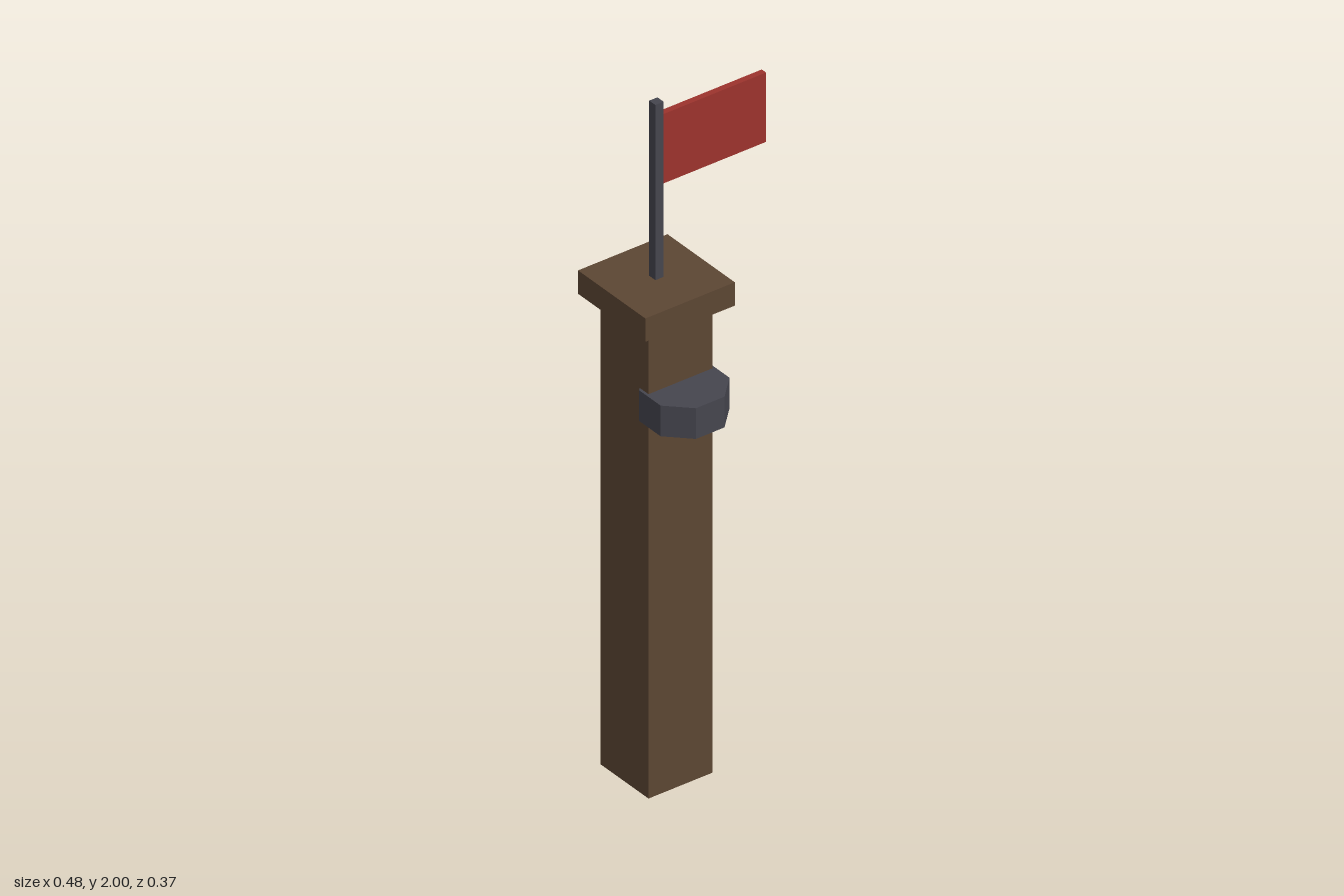
import * as THREE from 'three';

const wood = new THREE.MeshStandardMaterial({ color: 0x5c4633 });
wood.name = 'brown wood';
const metal = new THREE.MeshStandardMaterial({ color: 0x45454e, flatShading: true });
metal.name = 'dark metal';
const cloth = new THREE.MeshStandardMaterial({ color: 0x9c332d });
cloth.name = 'red cloth';

// Shared vertical axis of post, cap and pole
const AXIS_X = -0.1;
const AXIS_Z = -0.043;

export function createModel() {
  const model = new THREE.Group();
  model.name = 'flagPost';

  const add = (name, geometry, material, x, y, z) => {
    const mesh = new THREE.Mesh(geometry, material);
    mesh.name = name;
    mesh.position.set(x, y, z);
    model.add(mesh);
    return mesh;
  };

  // Box given by its width, bottom, top and depth
  const addBox = (name, material, x, width, bottom, top, depth) =>
    add(name, new THREE.BoxGeometry(width, top - bottom, depth), material, x, (bottom + top) / 2, AXIS_Z);

  // Square post and overhanging cap
  addBox('post', wood, AXIS_X, 0.202, 0, 1.405, 0.202);
  addBox('cap', wood, AXIS_X, 0.283, 1.405, 1.475, 0.283);

  // Thin square pole with a flag on its left side
  addBox('pole', metal, AXIS_X, 0.026, 1.475, 2, 0.026);
  addBox('flag', cloth, 0.0765, 0.327, 1.752, 1.96, 0.018);

  // Octagonal fitting half sunk into the front, one flat facing forward
  const fitting = add('octagonalFitting', new THREE.CylinderGeometry(0.118, 0.118, 0.092, 8), metal, AXIS_X, 1.166, 0.074);
  fitting.rotation.y = Math.PI / 8;

  return model;
}
